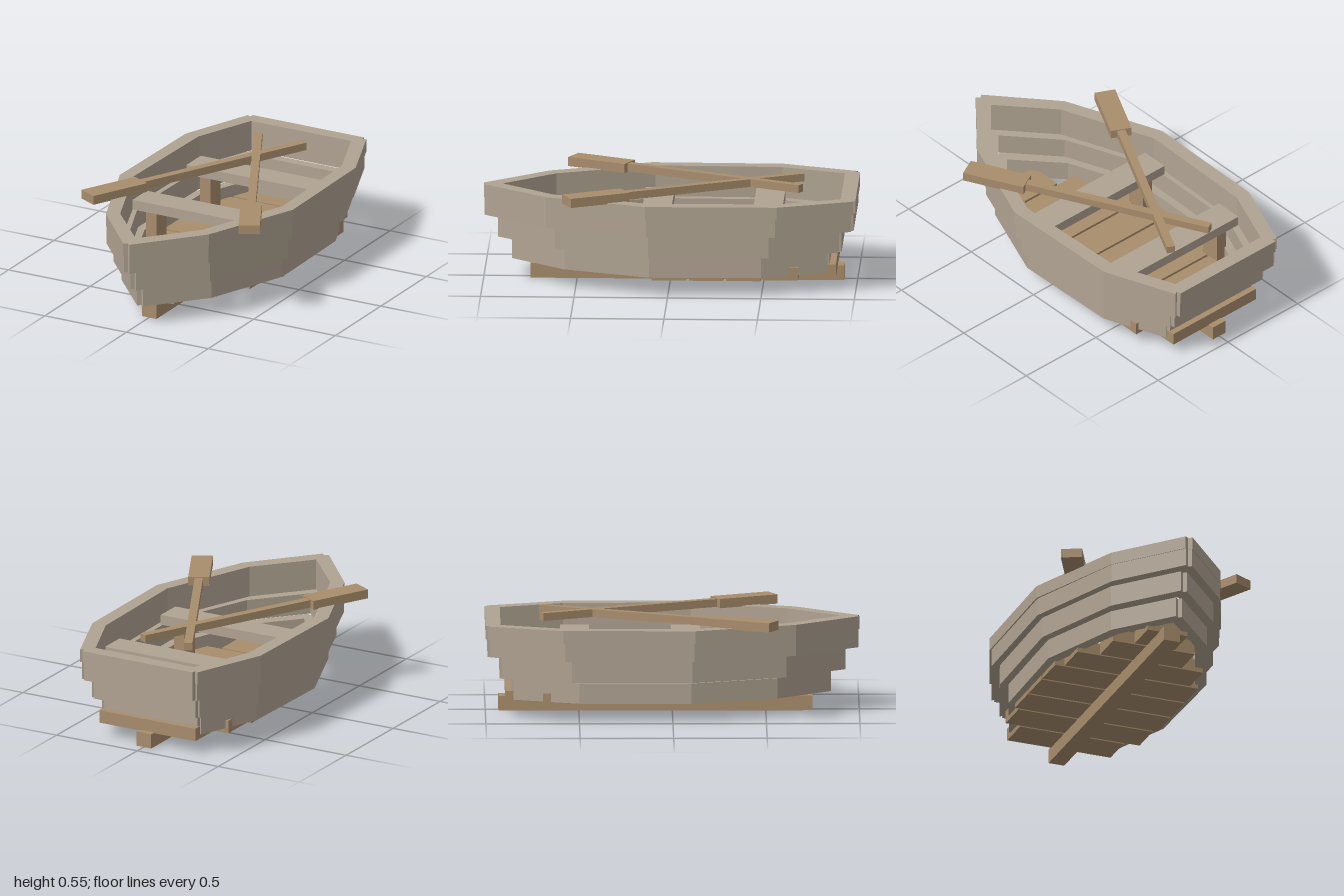
import * as THREE from 'three';

const paleWood = new THREE.MeshStandardMaterial({ color: 0xb0a392 });
paleWood.name = 'weathered pale wood';
const brownWood = new THREE.MeshStandardMaterial({ color: 0xa88d6c });
brownWood.name = 'brown wood';

function box(name, material, x0, x1, y0, y1, z0, z1) {
  const mesh = new THREE.Mesh(new THREE.BoxGeometry(x1 - x0, y1 - y0, z1 - z0), material);
  mesh.position.set((x0 + x1) / 2, (y0 + y1) / 2, (z0 + z1) / 2);
  mesh.name = name;
  return mesh;
}

// Mirror a half outline (x, z), listed from stern to bow, into a closed loop
function mirrored(half) {
  const other = half.filter(p => p[0] > 0).reverse().map(([x, z]) => [-x, z]);
  return [...half, ...other].map(([x, z]) => new THREE.Vector2(x, z));
}

// One ring of hull planking, hollow in the middle
function strake(name, y0, y1, outer, inner) {
  const shape = new THREE.Shape(mirrored(outer));
  shape.holes.push(new THREE.Path(mirrored(inner)));
  const geometry = new THREE.ExtrudeGeometry(shape, { depth: y1 - y0, bevelEnabled: false });
  geometry.rotateX(Math.PI / 2).translate(0, y1, 0);
  const mesh = new THREE.Mesh(geometry, paleWood);
  mesh.name = name;
  return mesh;
}

// Oar lying flat, handle at one end and broad blade at the other
function oar(name, side) {
  const group = new THREE.Group();
  group.name = name;
  const length = 1.393, blade = 0.345;
  group.add(box('oarShaft', brownWood, -0.0225, 0.0225, 0.503, 0.545, 0, length - blade + 0.02));
  group.add(box('oarBlade', brownWood, -0.057, 0.057, 0.5, 0.55, length - blade, length));
  group.position.set(-0.14 * side, 0, -0.7);
  group.rotation.y = side * Math.atan2(0.635, 1.24);
  return group;
}

export function createModel() {
  const boat = new THREE.Group();
  boat.name = 'rowingBoat';

  // Hull: stepped rings with small notches where the planks meet
  const topInner = [[0.305, -0.92], [0.44, -0.58], [0.455, 0.1], [0.25, 0.62], [0, 0.9]];
  boat.add(strake('bottomStrake', 0.1, 0.21,
    [[0.29, -0.86], [0.293, -0.84], [0.305, -0.85], [0.445, -0.5], [0.455, 0.1], [0.275, 0.56], [0.018, 0.85], [0, 0.835]],
    [[0.26, -0.81], [0.385, -0.5], [0.39, 0.1], [0.22, 0.53], [0, 0.77]]));
  boat.add(strake('lowerStrake', 0.218, 0.332,
    [[0.315, -0.925], [0.318, -0.9], [0.333, -0.912], [0.48, -0.54], [0.49, 0.105], [0.295, 0.61], [0.018, 0.925], [0, 0.91]],
    [[0.282, -0.87], [0.42, -0.54], [0.43, 0.1], [0.238, 0.575], [0, 0.84]]));
  boat.add(strake('upperStrake', 0.337, 0.435,
    [[0.335, -0.99], [0.338, -0.965], [0.355, -0.977], [0.513, -0.575], [0.522, 0.115], [0.312, 0.66], [0.018, 0.997], [0, 0.982]],
    topInner));
  boat.add(strake('rimStrake', 0.435, 0.505,
    [[0.34, -1], [0.343, -0.975], [0.363, -0.987], [0.52, -0.585], [0.53, 0.12], [0.315, 0.66], [0.02, 1], [0, 0.985]],
    topInner));

  // Keel and cross boards of the floor, from bow to stern
  boat.add(box('keel', brownWood, -0.045, 0.045, 0, 0.08, -0.93, 0.75));
  [0.115, 0.235, 0.36, 0.41, 0.41, 0.41, 0.385, 0.297].forEach((w, i) => {
    const z = 0.592 - i * 0.199;
    boat.add(box('floorBoard', brownWood, -w, w, 0.075, 0.145, z - 0.093, z + 0.093));
  });

  // Two benches on posts
  for (const z of [-0.52, 0.073]) {
    boat.add(box('bench', paleWood, -0.435, 0.435, 0.335, 0.39, z - 0.078, z + 0.078));
    for (const x of [-0.333, 0.333]) {
      boat.add(box('benchPost', brownWood, x - 0.033, x + 0.033, 0.14, 0.34, z - 0.055, z + 0.055));
    }
  }

  // Crossed oars resting on the rim
  boat.add(oar('leftOar', 1), oar('rightOar', -1));
  return boat;
}
